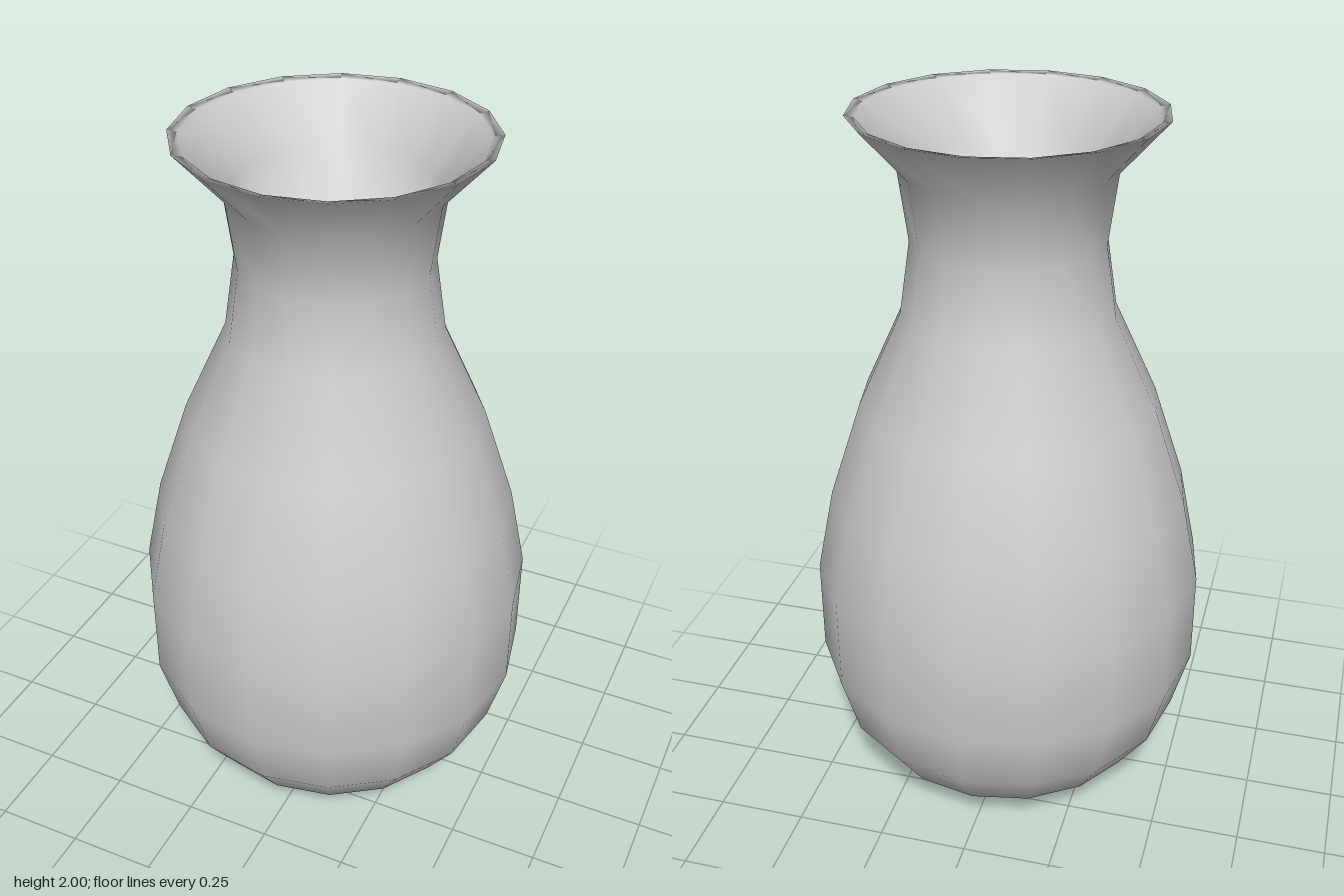
import * as THREE from 'three';

const SIDES = 16;

// Turn a profile of [radius, height] pairs around the y axis
function turned(name, profile, material) {
  const points = profile.map(([r, y]) => new THREE.Vector2(r, y));
  const mesh = new THREE.Mesh(new THREE.LatheGeometry(points, SIDES), material);
  mesh.name = name;
  return mesh;
}

export function createModel() {
  const group = new THREE.Group();
  group.name = 'vase';
  const material = new THREE.MeshStandardMaterial({ color: 0xcccccc, side: THREE.DoubleSide });

  // One continuous smooth profile: base, belly, neck, flared lip, hollow mouth
  group.add(turned('vaseBody', [
    [0, 0], [0.26, 0], // base
    [0.41, 0.12], [0.5, 0.25], [0.55, 0.43], [0.55, 0.7], [0.5, 0.94], // belly
    [0.41, 1.21], [0.29, 1.47], [0.26, 1.67], [0.285, 1.86], // shoulder and neck
    [0.41, 2], [0.385, 1.995], // lip
    [0.265, 1.86], [0.22, 1.72], [0, 1.66], // inside of the mouth
  ], material));

  return group;
}
